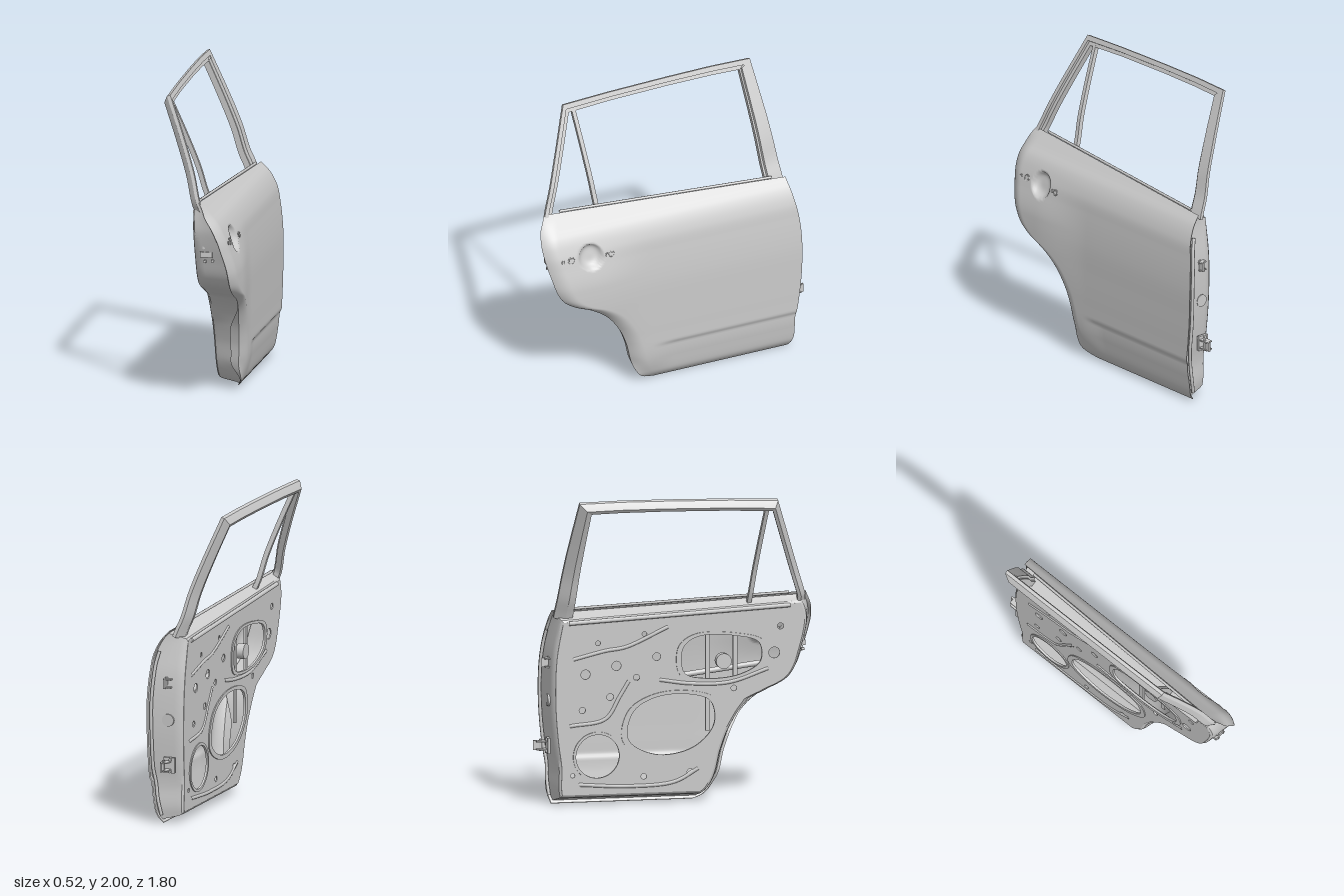
import * as THREE from 'three';
import { toCreasedNormals } from 'three/addons/utils/BufferGeometryUtils.js';

const mat = new THREE.MeshStandardMaterial({ color: 0xcccccc, side: THREE.DoubleSide });
const { lerp, smoothstep: ss, clamp } = THREE.MathUtils;

// Smooth 1D curve through [t, value] pairs
function curve(pts) {
  const c = new THREE.CubicInterpolant(pts.map(p => p[0]), pts.map(p => p[1]), 1);
  return t => c.evaluate(clamp(t, pts[0][0], pts[pts.length - 1][0]))[0];
}

// Door outline: rear and front edge z by height, and skin and frame x by height
const Y0 = 0.004, Y1 = 1.335;
const rearZ = curve([[0, 0.12], [0.015, 0.18], [0.04, 0.23], [0.1, 0.28], [0.17, 0.31], [0.33, 0.35], [0.47, 0.41],
  [0.6, 0.51], [0.67, 0.61], [0.71, 0.7], [0.76, 0.775], [0.82, 0.82], [0.95, 0.865], [1.1, 0.9], [1.17, 0.905], [1.25, 0.89], [1.335, 0.85]]);
const frontZ = curve([[0, -0.775], [0.05, -0.79], [0.1, -0.8], [0.25, -0.8], [0.4, -0.82], [0.6, -0.838],
  [0.8, -0.842], [1, -0.832], [1.2, -0.805], [1.335, -0.78]]);
const bodyX = curve([[0, 0.14], [0.05, 0.18], [0.1, 0.2], [0.2, 0.222], [0.4, 0.23], [0.6, 0.232], [0.8, 0.231],
  [1, 0.214], [1.1, 0.198], [1.2, 0.15], [1.255, 0.1], [1.3, 0.06], [1.335, 0.03]]);
const frameX = curve([[1.2, 0.09], [1.27, 0.065], [1.34, 0.035], [1.5, -0.01], [1.7, -0.085], [1.9, -0.168], [2, -0.21]]);
const panelX = y => 0.022 - 0.024 * y;

function skinX(z, y, dent = true) {
  let x = bodyX(y);
  // flared rear quarter
  x += 0.033 * ss(z, 0.15, 0.6) * ss(y, 0.2, 0.7) * (1 - ss(y, 0.85, 1.15));
  // rear edge rolls inwards
  const e = clamp((z - rearZ(y) + 0.1) / 0.1, 0, 1);
  x -= 0.042 * e * e * ss(y, 0.03, 0.2) * (1 - ss(y, 1.2, 1.33));
  // sill step
  x -= 0.013 * (1 - ss(y, 0.27, 0.305)) * ss(y, 0.02, 0.18) * (1 - ss(z, 0, 0.2));
  // handle cup
  const d = Math.hypot(z - 0.6, y - 1.06) / 0.083;
  if (dent && d < 1) x -= 0.04 * (1 - d ** 4);
  return x;
}

// [z, y] at s (0 rear, 1 front) and t (0 sill, 1 belt), drawn in by the margin d
function outline(s, t, d) {
  const yb = lerp(Y0 + d, Y1 - d, t);
  const slope = (rearZ(yb + 0.03) - rearZ(yb - 0.03)) / 0.06;
  const z = lerp(rearZ(yb) - d * Math.min(2, Math.hypot(1, slope)), frontZ(yb) + d, s);
  return [z, yb - 0.08 * s * ss(yb, 0.8, Y1)];
}

function grid(nu, nv, f) {
  const pos = [], idx = [];
  for (let j = 0; j <= nv; j++) for (let i = 0; i <= nu; i++) pos.push(...f(i / nu, j / nv));
  for (let j = 0; j < nv; j++) for (let i = 0; i < nu; i++) {
    const a = j * (nu + 1) + i, b = a + nu + 1;
    idx.push(a, a + 1, b, a + 1, b + 1, b);
  }
  const g = new THREE.BufferGeometry();
  g.setAttribute('position', new THREE.Float32BufferAttribute(pos, 3));
  g.setIndex(idx);
  g.computeVertexNormals();
  return g;
}

export function createModel() {
  const door = new THREE.Group();
  door.name = 'rearDoor';
  const add = (name, g, x = 0, y = 0, z = 0, parent = door) => {
    const m = new THREE.Mesh(g, mat);
    m.name = name;
    m.position.set(x, y, z);
    parent.add(m);
  };

  // Outer skin
  add('outerSkin', grid(150, 110, (s, t) => {
    const [z, y] = outline(s, t, 0);
    return [skinX(z, y), y, z];
  }));

  // Hem and shut faces: rings that step in from the skin edge to the inner panel
  const N = 50, edge = [];
  for (let i = 0; i < N; i++) edge.push([i / N, 0]);
  for (let i = 0; i < N; i++) edge.push([1, i / N]);
  for (let i = 0; i < N; i++) edge.push([1 - i / N, 1]);
  for (let i = 0; i < 2 * N; i++) edge.push([0, 1 - i / (2 * N)]);
  const rings = [[0, 0], [0.004, 0.04], [0.02, 0.06], [0.026, 0.2], [0.045, 0.75], [0.055, 0.93], [0.072, 1]];
  add('shutFaces', toCreasedNormals(grid(edge.length, rings.length - 1, (u, v) => {
    const [s, t] = edge[Math.round(u * edge.length) % edge.length];
    let [d, f] = rings[Math.round(v * (rings.length - 1))];
    const [z, y] = outline(s, t, d);
    // deeper lip along the wheel arch
    if (s === 0 && d > 0) f = lerp(f, 1, 0.3 * ss(y, 0.05, 0.2) * (1 - ss(y, 0.4, 0.6)));
    return [lerp(skinX(z, y, false), panelX(y), f), y, z];
  }), 0.6));

  // Inner panel, drawn in (-z, y) and turned into place
  const onPanel = (shape, depth, lift) => {
    const g = new THREE.ExtrudeGeometry(shape, { depth, bevelEnabled: false }).rotateY(Math.PI / 2);
    const p = g.attributes.position;
    for (let i = 0; i < p.count; i++) p.setX(i, p.getX(i) + panelX(p.getY(i)) + lift);
    return toCreasedNormals(g, 0.6);
  };
  const loop = (pts, scale = 1) => {
    const v = pts.map(p => new THREE.Vector3(-p[0], p[1], 0));
    const c = v.reduce((a, b) => a.clone().add(b)).divideScalar(v.length);
    v.forEach(p => p.sub(c).multiplyScalar(scale).add(c));
    return new THREE.CatmullRomCurve3(v, true).getPoints(60).slice(0, -1).map(p => new THREE.Vector2(p.x, p.y));
  };
  const circle = (z, y, r) => Array.from({ length: 12 }, (_, i) =>
    [z + r * Math.cos(i * Math.PI / 6), y + r * Math.sin(i * Math.PI / 6)]);
  const openings = {
    speaker: circle(-0.5, 0.32, 0.14),
    service: [[-0.3, 0.42], [-0.27, 0.6], [-0.12, 0.69], [0.1, 0.7], [0.23, 0.65], [0.25, 0.5], [0.12, 0.36], [-0.12, 0.32]],
    regulator: [[0.06, 0.84], [0.05, 1.0], [0.14, 1.07], [0.38, 1.07], [0.54, 1.02], [0.55, 0.9], [0.42, 0.82], [0.2, 0.8]],
  };
  const panel = new THREE.Shape(edge.map(([s, t]) => {
    const [z, y] = outline(s, t, 0.07);
    return new THREE.Vector2(-z, y);
  }));
  const small = [[-0.6, 0.62, 0.02], [-0.58, 0.85, 0.03], [-0.42, 0.7, 0.022], [-0.38, 0.9, 0.03], [-0.25, 0.82, 0.02],
    [-0.12, 0.95, 0.025], [-0.5, 1.05, 0.015], [-0.2, 1.1, 0.015], [0.64, 0.95, 0.035], [0.68, 1.12, 0.02],
    [0.1, 0.2, 0.02], [-0.2, 0.18, 0.018], [0.38, 0.73, 0.018], [-0.66, 0.2, 0.014]];
  for (const pts of [...Object.values(openings), ...small.map(h => circle(...h))]) panel.holes.push(new THREE.Path(loop(pts)));
  add('innerPanel', onPanel(panel, 0.008, 0));

  // Raised rims round the large openings
  for (const [name, pts] of Object.entries(openings)) {
    const rim = new THREE.Shape(loop(pts, 1.13));
    rim.holes.push(new THREE.Path(loop(pts)));
    add(name + 'Rim', onPanel(rim, 0.012, -0.007));
  }

  // Pressed ribs on the inner panel
  const ribs = [[[-0.66, 0.95], [-0.45, 1.0], [-0.32, 1.02], [-0.05, 1.14]], [[-0.68, 0.52], [-0.45, 0.56], [-0.36, 0.7], [-0.3, 0.8]],
    [[-0.1, 0.8], [0.1, 0.77], [0.35, 0.77], [0.6, 0.85]], [[-0.62, 0.14], [-0.3, 0.12], [0, 0.14], [0.15, 0.22]]];
  for (const r of ribs) {
    const path = new THREE.CatmullRomCurve3(r.map(([z, y]) => new THREE.Vector3(panelX(y) + 0.006, y, z)));
    add('pressedRib', new THREE.TubeGeometry(path, 24, 0.014, 8));
  }

  // Works inside the door: window lift rails, motor and side beam
  for (const [z, y, h] of [[0.22, 0.83, 0.75], [0.4, 0.98, 0.45]]) add('windowRail', new THREE.BoxGeometry(0.015, h, 0.03), 0.06, y, z);
  add('motor', new THREE.CylinderGeometry(0.05, 0.05, 0.05, 20).rotateZ(Math.PI / 2), 0.05, 0.9, 0.32);
  add('sideBeam', new THREE.CylinderGeometry(0.018, 0.018, 1.4, 12).rotateX(Math.PI / 2 - 0.12), 0.16, 0.78, -0.08);

  // Frame bars between an outer and an inner [z, y] line; depth runs square to the leaning glass
  const stepped = w => [[0, 0], [w, 0], [w + 0.05, -0.016], [1, -0.016], [1, -0.055], [0.6, -0.06], [0.1, -0.03], [0, -0.022], [0, 0]];
  const flat = [[0, -0.015], [1, -0.015], [1, -0.045], [0, -0.045], [0, -0.015]];
  const bar = (name, outer, inner, profile) => {
    const at = (l, t) => {
      const k = t * (l.length - 1), i = Math.min(l.length - 2, Math.floor(k));
      return [0, 1].map(c => lerp(l[i][c], l[i + 1][c], k - i));
    };
    add(name, toCreasedNormals(grid(profile.length - 1, 24, (u, v) => {
      const [w, d] = profile[Math.round(u * (profile.length - 1))];
      const a = at(outer, v), b = at(inner, v), y = lerp(a[1], b[1], w);
      return [frameX(y) + 0.93 * d, y + 0.37 * d, lerp(a[0], b[0], w)];
    }), 0.5));
  };
  bar('frontFramePost', [[-0.775, 1.22], [-0.72, 1.64], [-0.665, 1.995]], [[-0.66, 1.22], [-0.625, 1.6], [-0.59, 1.94]], stepped(0.83));
  bar('rearFramePost', [[0.845, 1.24], [0.845, 1.33], [0.735, 1.65], [0.62, 1.975]],
    [[0.79, 1.24], [0.79, 1.33], [0.69, 1.62], [0.585, 1.92]], stepped(0.5));
  bar('topFrameRail', [[0.62, 1.975], [0.3, 1.988], [-0.1, 1.997], [-0.4, 2], [-0.665, 1.995]],
    [[0.585, 1.92], [0.3, 1.935], [-0.1, 1.944], [-0.4, 1.945], [-0.59, 1.94]], stepped(0.55));
  bar('quarterGlassDivider', [[0.493, 1.27], [0.565, 1.95]], [[0.465, 1.27], [0.54, 1.95]], flat);

  // Belt weatherstrips on both sides of the window slot
  const belt = (name, x, dy, r) => {
    const p = [0.74, 0.25, -0.25, -0.69].map(z => {
      const y = 1.34 - 0.08 * (0.85 - z) / 1.63;
      return new THREE.Vector3(x(y), y + dy, z);
    });
    add(name, new THREE.TubeGeometry(new THREE.CatmullRomCurve3(p), 40, r, 8));
  };
  belt('outerBeltStrip', y => bodyX(y) - 0.008, -0.002, 0.009);
  belt('innerBeltStrip', y => panelX(y) - 0.004, -0.08, 0.014);

  // Seal down the front edge
  const seal = Array.from({ length: 12 }, (_, i) => {
    const [z, y] = outline(1, 0.04 + 0.85 * i / 11, 0);
    return new THREE.Vector3(skinX(z, y) - 0.03, y, z + 0.006);
  });
  add('frontSeal', new THREE.TubeGeometry(new THREE.CatmullRomCurve3(seal), 50, 0.011, 8));

  // Hinges on the front shut face
  for (const [name, y, z] of [['upperHinge', 0.92, -0.775], ['lowerHinge', 0.39, -0.83]]) {
    const h = new THREE.Group();
    h.name = name;
    h.position.set(0.1, y, z);
    door.add(h);
    add('mountPlate', new THREE.BoxGeometry(0.075, 0.1, 0.018), -0.01, 0, 0.025, h);
    for (const s of [-1, 1]) {
      add('leaf', new THREE.BoxGeometry(0.05, 0.008, 0.07), 0, s * 0.026, -0.015, h);
      add('bolt', new THREE.CylinderGeometry(0.011, 0.011, 0.014, 6).rotateX(Math.PI / 2), -0.02, s * 0.038, 0.012, h);
    }
    add('pin', new THREE.CylinderGeometry(0.01, 0.01, 0.075, 12), 0.012, 0, -0.02, h);
    add('bodyLeaf', new THREE.BoxGeometry(0.012, 0.06, 0.045), 0.012, 0, -0.045, h);
  }
  add('wiringPlug', new THREE.CylinderGeometry(0.04, 0.04, 0.02, 20).rotateX(Math.PI / 2), 0.1, 0.68, -0.8);

  // Latch on the rear shut face
  add('latch', new THREE.BoxGeometry(0.08, 0.035, 0.03), 0.08, 1, 0.835);
  for (const [x, y] of [[0.065, 1.045], [0.07, 0.955], [0.12, 0.96]])
    add('latchScrew', new THREE.CylinderGeometry(0.01, 0.01, 0.02, 8).rotateX(Math.PI / 2), x, y, 0.838);

  // Handle mounts either side of the cup
  for (const [z, y, r] of [[0.735, 1.07, 0.022], [0.79, 1.07, 0.01], [0.46, 1.055, 0.018], [0.49, 1.057, 0.011]]) {
    const x = skinX(z, y);
    add('handleMount', new THREE.TorusGeometry(r, 0.002, 6, 20).rotateY(Math.PI / 2).rotateZ(0.25), x, y, z);
    add('handleMountPad', new THREE.CylinderGeometry(r * 0.7, r * 0.7, 0.006, 16).rotateZ(Math.PI / 2 + 0.25), x, y, z);
  }
  return door;
}
